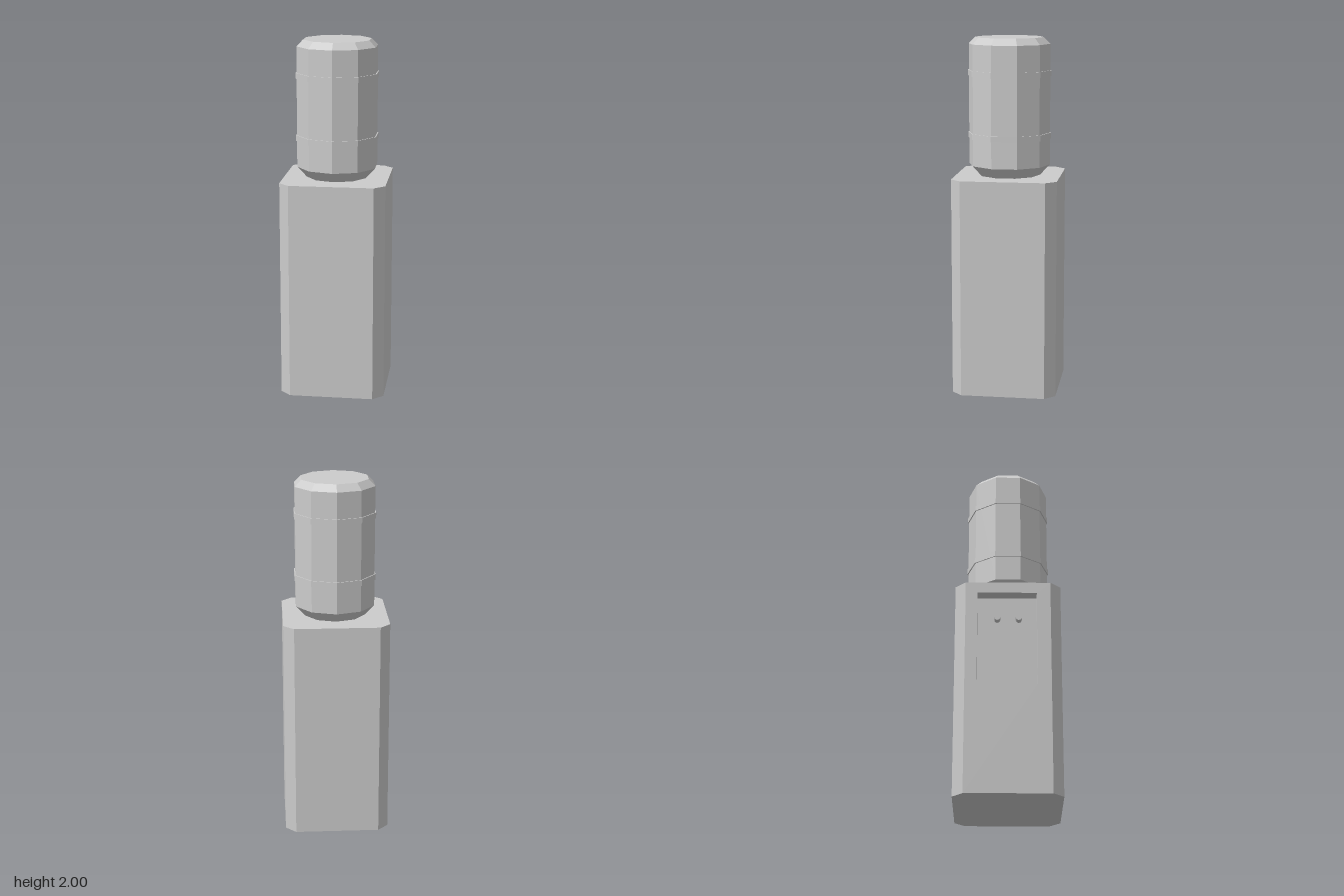
import * as THREE from 'three';

const material = new THREE.MeshStandardMaterial({ color: 0xcccccc, flatShading: true });

function add(parent, name, geometry) {
  const mesh = new THREE.Mesh(geometry, material);
  mesh.name = name;
  parent.add(mesh);
  return mesh;
}

// Ten-sided turned part from [radius, y] pairs, bottom to top
function turned(profile) {
  return new THREE.LatheGeometry(profile.map(([r, y]) => new THREE.Vector2(r, y)), 10);
}

const HEIGHT = 1.228, HALF = 0.294, FLAT = 0.236, DEPTH = 0.07;

// Cabinet: chamfered square column with a dispensing recess in its -x wall
function cabinetGeometry() {
  const positions = [];
  const quad = (a, b, c, d) => positions.push(...a, ...b, ...c, ...a, ...c, ...d);

  const outline = [
    [-FLAT, HALF], [FLAT, HALF], [HALF, FLAT], [HALF, -FLAT],
    [FLAT, -HALF], [-FLAT, -HALF], [-HALF, -FLAT], [-HALF, FLAT],
  ];
  const low = outline.map(([x, z]) => [x, 0, z]);
  const high = outline.map(([x, z]) => [x, HEIGHT, z]);

  // Plain walls; the one at index 6 holds the recess
  for (let i = 0; i < 8; i++) {
    const j = (i + 1) % 8;
    if (i !== 6) quad(low[i], low[j], high[j], high[i]);
  }
  // Top and underside
  for (const [a, b, c, d] of [[0, 1, 2, 3], [0, 3, 4, 7], [4, 5, 6, 7]]) {
    quad(high[a], high[b], high[c], high[d]);
    quad(low[d], low[c], low[b], low[a]);
  }
  // Recess wall: frame, inner sides and back
  const rect = (x, z0, z1, y0, y1) => [[x, y0, z0], [x, y0, z1], [x, y1, z1], [x, y1, z0]];
  const outer = rect(-HALF, -FLAT, FLAT, 0, HEIGHT);
  const rim = rect(-HALF, -0.17, 0.16, 0.615, 1.165);
  const back = rect(-HALF + DEPTH, -0.17, 0.16, 0.615, 1.165);
  for (let i = 0; i < 4; i++) {
    const j = (i + 1) % 4;
    quad(outer[i], outer[j], rim[j], rim[i]);
    quad(rim[i], rim[j], back[j], back[i]);
  }
  quad(...back);

  const geometry = new THREE.BufferGeometry();
  geometry.setAttribute('position', new THREE.Float32BufferAttribute(positions, 3));
  geometry.computeVertexNormals();
  return geometry;
}

export function createModel() {
  const model = new THREE.Group();
  model.name = 'waterCooler';

  add(model, 'cabinet', cabinetGeometry());

  // Two small taps on the back of the recess
  for (const z of [-0.06, 0.06]) {
    const tap = add(model, 'tap', new THREE.CylinderGeometry(0.018, 0.018, 0.04, 8));
    tap.rotation.z = Math.PI / 2;
    tap.position.set(-HALF + DEPTH - 0.018, 1.03, z);
  }

  // Bottle with sloped shoulders
  add(model, 'bottle', turned([
    [0, HEIGHT], [0.175, HEIGHT], [0.23, 1.287], [0.23, 1.963], [0.193, 2], [0, 2],
  ]));

  // Raised bands around the bottle
  for (const y of [1.452, 1.801]) {
    add(model, 'bottleBand', turned([
      [0.225, y - 0.016], [0.236, y - 0.016], [0.236, y + 0.016], [0.225, y + 0.016],
    ]));
  }
  return model;
}
